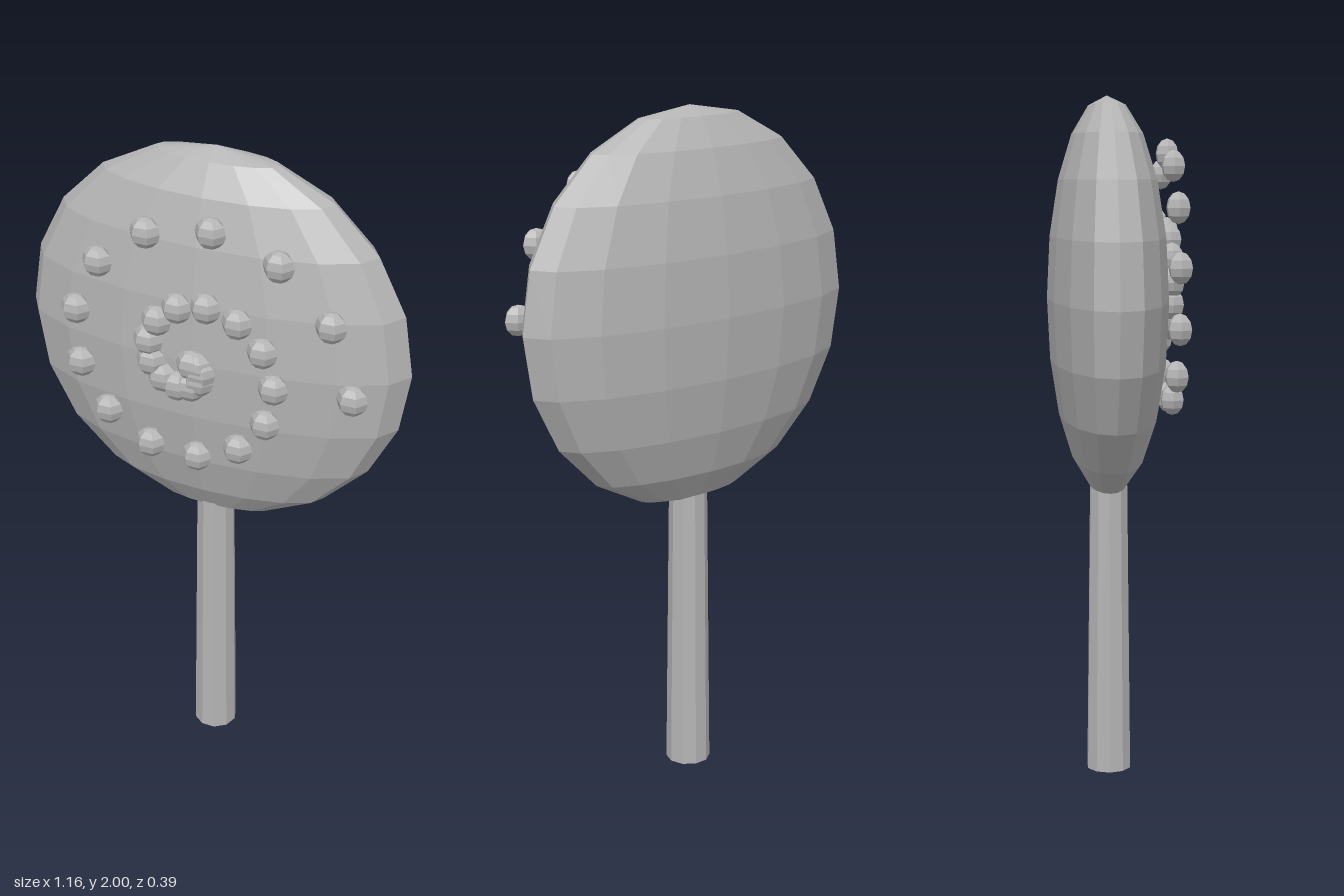
import * as THREE from 'three';

export function createModel() {
  const group = new THREE.Group();
  const grey = new THREE.MeshStandardMaterial({ color: 0xb4b4b4, flatShading: true });
  grey.name = 'plain grey';

  const add = (name, geometry, x, y, z, parent = group) => {
    const mesh = new THREE.Mesh(geometry, grey);
    mesh.name = name;
    mesh.position.set(x, y, z);
    parent.add(mesh);
    return mesh;
  };

  const centreY = 1.421;
  const centreZ = -0.018;

  // Flattened candy head
  add('candyHead', new THREE.SphereGeometry(0.579, 16, 10).scale(1, 1, 0.302), 0, centreY, centreZ);

  // Tapered ten-sided stick, its top end buried in the head
  const stickHeight = 0.95;
  add('stick', new THREE.CylinderGeometry(0.056, 0.067, stickHeight, 10).rotateY(Math.PI / 10),
    0, stickHeight / 2, centreZ + 0.005);

  // Beads winding outwards in a clockwise spiral on the front
  const spiral = new THREE.Group();
  spiral.name = 'spiralBeads';
  group.add(spiral);
  const bead = new THREE.SphereGeometry(0.045, 6, 6).scale(1, 1, 0.8);
  const count = 28;
  const step = THREE.MathUtils.degToRad(27.3);
  for (let i = 0; i < count; i++) {
    const radius = 0.47 * i / (count - 1);
    const angle = (count - 1 - i) * step;
    add('bead', bead, radius * Math.cos(angle), centreY + radius * Math.sin(angle), 0.162, spiral);
  }

  return group;
}
